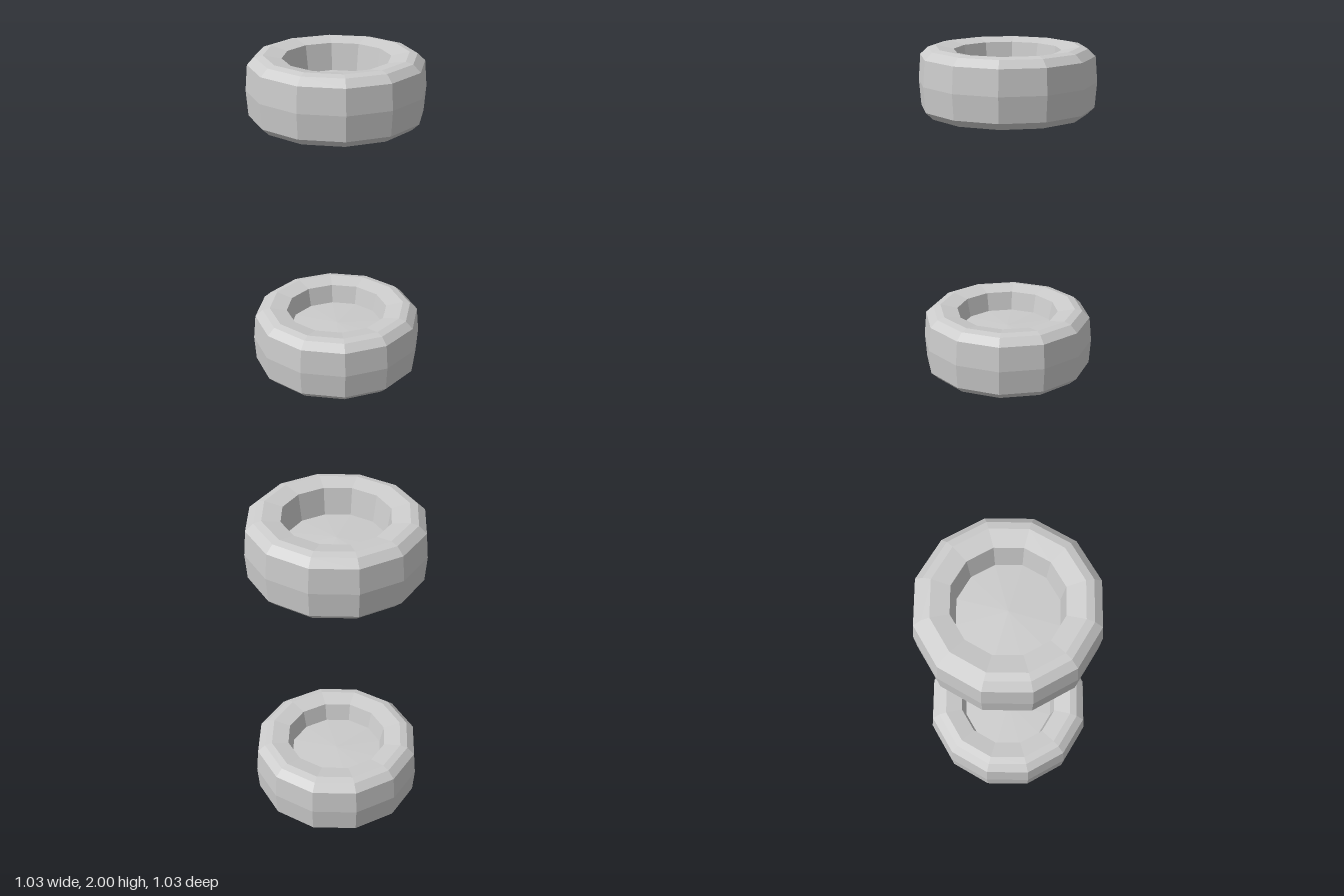
import * as THREE from 'three';

const SIDES = 12;

// Closed lathe of [radius, height] points, listed from the bottom up
function lathe(name, points, material) {
  const profile = points.map(([r, y]) => new THREE.Vector2(r, y));
  const mesh = new THREE.Mesh(new THREE.LatheGeometry(profile, SIDES), material);
  mesh.name = name;
  return mesh;
}

export function createModel() {
  const model = new THREE.Group();
  model.name = 'wheelPair';
  const material = new THREE.MeshStandardMaterial({ color: 0xcccccc, flatShading: true });

  // Half of the tyre section, from the tread centre to the rim lip
  const half = [[0.517, 0], [0.505, 0.148], [0.46, 0.19], [0.415, 0.2], [0.31, 0.18]];
  const lower = half.slice(1).reverse().map(([r, y]) => [r, -y]);

  function wheel(name) {
    const group = new THREE.Group();
    group.name = name;
    group.add(
      lathe('tyre', [...lower, ...half], material),
      // Recessed hub faces, shallow on the inner side and deeper on the outer
      lathe('innerHub', [[0, -0.08], [0.285, -0.067], [0.31, -0.18]], material),
      lathe('outerHub', [[0.31, 0.18], [0.285, 0.022], [0, 0.04]], material),
    );
    return group;
  }

  // The two wheels mirror each other, outer faces pointing away
  const upper = wheel('upperWheel');
  upper.position.y = 1.8;
  const bottom = wheel('lowerWheel');
  bottom.rotation.x = Math.PI;
  bottom.position.y = 0.2;
  model.add(upper, bottom);
  return model;
}
